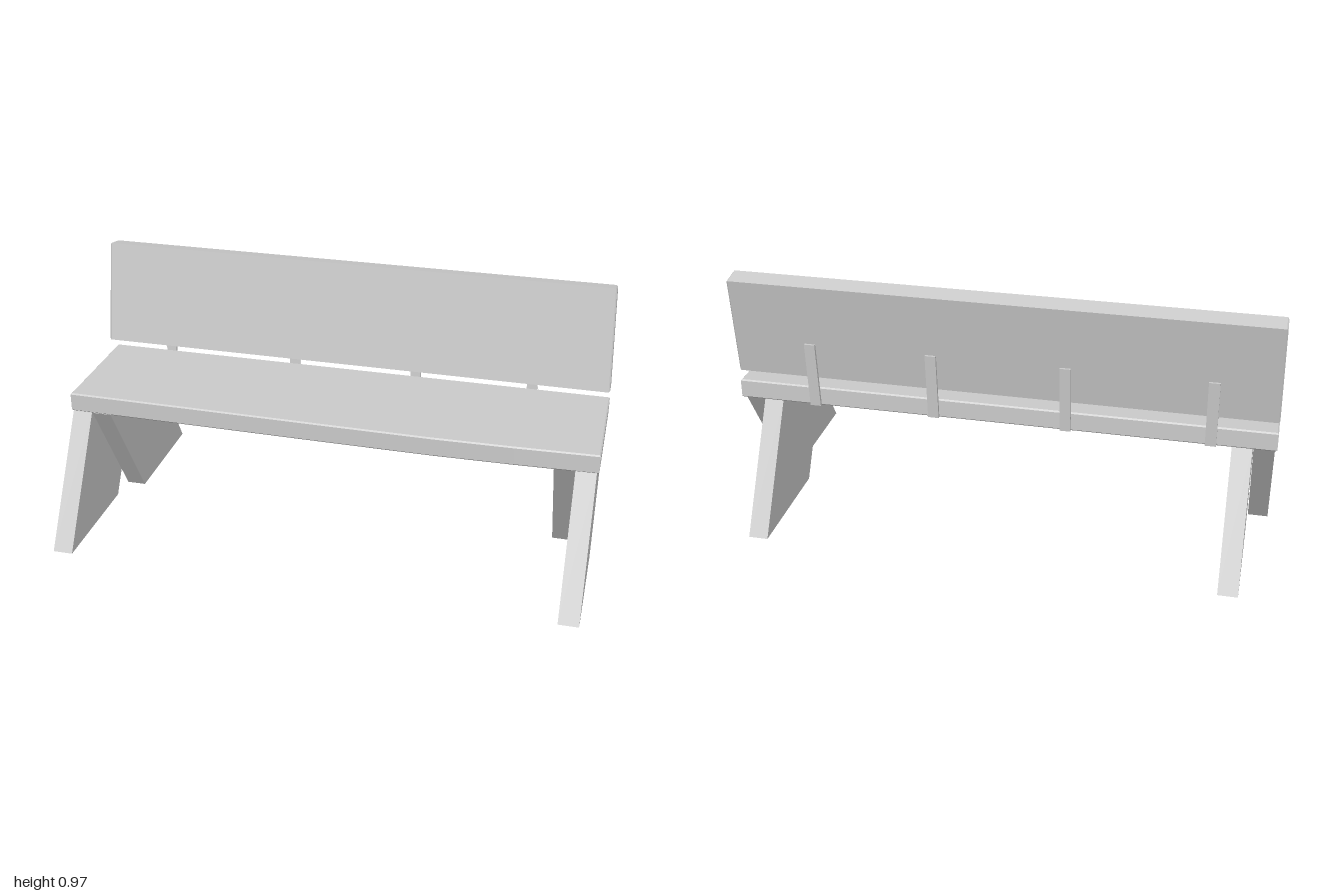
import * as THREE from 'three';

const material = new THREE.MeshStandardMaterial({ color: 0xcccccc, flatShading: true });

function toShape(points) {
  return new THREE.Shape(points.map(([a, b]) => new THREE.Vector2(-a, b)));
}

// Extrudes a side profile of [z, y] points along x, from x0 to x1.
function sideBoard(name, profile, x0, x1, bevel = 0) {
  const geometry = new THREE.ExtrudeGeometry(toShape(profile), {
    depth: x1 - x0 - 2 * bevel,
    bevelEnabled: bevel > 0,
    bevelThickness: bevel,
    bevelSize: bevel,
    bevelOffset: -bevel,
    bevelSegments: 1,
  });
  geometry.rotateY(Math.PI / 2).translate(x0 + bevel, 0, 0);
  const mesh = new THREE.Mesh(geometry, material);
  mesh.name = name;
  return mesh;
}

// Seat plank, with a slightly bowed front edge.
function createSeat() {
  const bevel = 0.005, bottom = 0.458, top = 0.532;
  const outline = [[-1, -0.253], [1, -0.253], [1, 0.22], [0.7, 0.23], [0.4, 0.235], [0, 0.231], [-0.5, 0.224], [-1, 0.218]];
  const shape = new THREE.Shape(outline.map(([x, z]) => new THREE.Vector2(x, -z)));
  const geometry = new THREE.ExtrudeGeometry(shape, {
    depth: top - bottom - 2 * bevel,
    bevelThickness: bevel,
    bevelSize: bevel,
    bevelOffset: -bevel,
    bevelSegments: 1,
  });
  geometry.rotateX(-Math.PI / 2).translate(0, bottom + bevel, 0);
  const mesh = new THREE.Mesh(geometry, material);
  mesh.name = 'seat';
  return mesh;
}

// Leaning backrest plank whose ends taper a little towards the top.
function createBackrest() {
  const profile = [[-0.179, 0.585], [-0.249, 0.571], [-0.32, 0.96], [-0.249, 0.974]];
  const mesh = sideBoard('backrest', profile, -1, 1, 0.005);
  const position = mesh.geometry.attributes.position;
  for (let i = 0; i < position.count; i++) {
    const x = position.getX(i);
    const rise = (position.getY(i) - 0.571) / 0.4;
    position.setX(i, x - Math.sign(x) * rise * (x > 0 ? 0.014 : 0.005));
  }
  mesh.geometry.computeVertexNormals();
  return mesh;
}

export function createModel() {
  const bench = new THREE.Group();
  bench.name = 'bench';
  bench.add(createSeat(), createBackrest());

  // Crossed slanted leg boards: front legs outside, back legs inside.
  const frontProfile = [[0.505, 0], [0.052, 0], [-0.235, 0.46], [0.22, 0.46]];
  const backProfile = [[-0.505, 0], [-0.052, 0], [0.22, 0.46], [-0.235, 0.46]];
  bench.add(
    sideBoard('leftFrontLeg', frontProfile, 0.917, 0.992),
    sideBoard('rightFrontLeg', frontProfile, -0.992, -0.917),
    sideBoard('leftBackLeg', backProfile, 0.841, 0.914),
    sideBoard('rightBackLeg', backProfile, -0.914, -0.841),
  );

  // Thin straps holding the backrest to the rear edge of the seat.
  const strapProfile = [[-0.253, 0.46], [-0.264, 0.46], [-0.285, 0.719], [-0.275, 0.719]];
  [-0.767, -0.244, 0.247, 0.703].forEach((x, i) => {
    bench.add(sideBoard(`backrestStrap${i + 1}`, strapProfile, x - 0.02, x + 0.02));
  });
  return bench;
}
